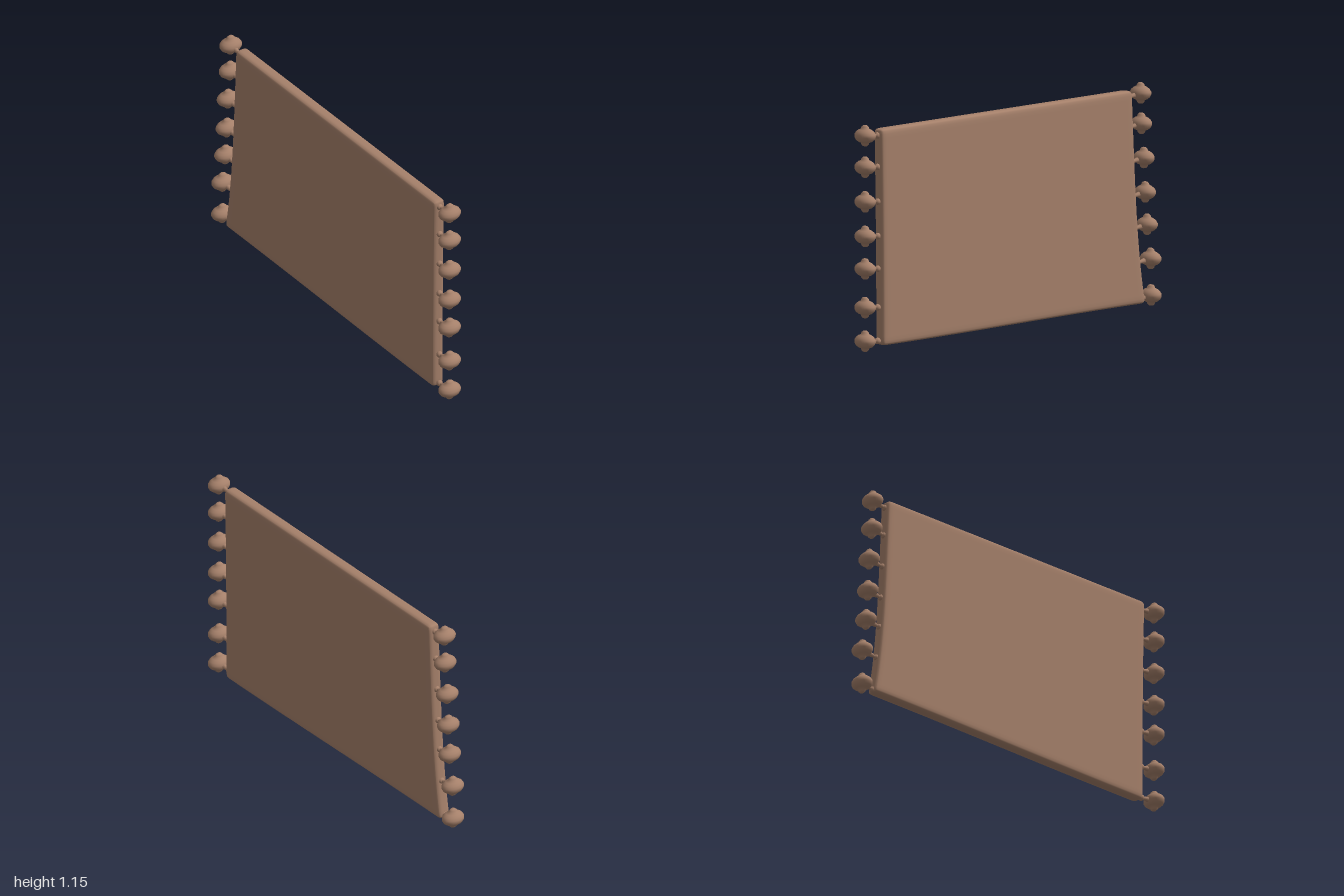
import * as THREE from 'three';
import { mergeVertices } from 'three/addons/utils/BufferGeometryUtils.js';

const { lerp, clamp } = THREE.MathUtils;

// Edges of the slightly skewed cloth (u, v run 0..1)
const leftEdge = v => -0.805 - 0.05 * (1 - v) - 0.04 * (1 - v) ** 4;
const rightEdge = v => 0.86 + 0.012 * v * v;
const topEdge = u => 1.122 - 0.026 * u;
const bottomEdge = u => 0.067 - 0.037 * u * u * (3 - 2 * u) * 0.5 - 0.0185 * u;

// Rounded slab, dense near its borders, warped to fit the edges
function clothGeometry() {
  const half = new THREE.Vector3(0.85, 0.53, 0.034);
  const r = 0.022;
  let g = new THREE.BoxGeometry(2, 2, 2, 36, 30, 8);
  g.deleteAttribute('normal');
  g.deleteAttribute('uv');
  g = mergeVertices(g);
  const pos = g.attributes.position;
  const p = new THREE.Vector3(), core = new THREE.Vector3();
  for (let i = 0; i < pos.count; i++) {
    p.fromBufferAttribute(pos, i);
    p.set(Math.sin(p.x * Math.PI / 2), Math.sin(p.y * Math.PI / 2), p.z).multiply(half);
    core.set(
      clamp(p.x, r - half.x, half.x - r),
      clamp(p.y, r - half.y, half.y - r),
      clamp(p.z, r - half.z, half.z - r));
    p.sub(core);
    if (p.lengthSq() > 0) p.setLength(r);
    p.add(core);
    const u = p.x / half.x / 2 + 0.5, v = p.y / half.y / 2 + 0.5;
    pos.setXYZ(i,
      lerp(leftEdge(v), rightEdge(v), u),
      lerp(bottomEdge(u), topEdge(u), v),
      p.z - 0.001);
  }
  g.computeVertexNormals();
  return g;
}

// Turned tassel: a wide round body with a small knob above and below
function tasselGeometry() {
  const profile = [
    [0, -0.053], [0.012, -0.051], [0.02, -0.044], [0.023, -0.035], [0.037, -0.03],
    [0.051, -0.02], [0.059, -0.006], [0.059, 0.006], [0.051, 0.019], [0.037, 0.029],
    [0.023, 0.035], [0.02, 0.044], [0.012, 0.051], [0, 0.053],
  ].map(([x, y]) => new THREE.Vector2(x, y));
  const g = new THREE.LatheGeometry(profile, 28);
  g.scale(0.78, 1, 1);
  return g;
}

export function createModel() {
  const model = new THREE.Group();
  model.name = 'tasselledCloth';
  const brown = new THREE.MeshStandardMaterial({ color: 0xa5806a });
  brown.name = 'warm brown';

  const add = (name, geometry, parent = model) => {
    const mesh = new THREE.Mesh(geometry, brown);
    mesh.name = name;
    parent.add(mesh);
    return mesh;
  };

  add('cloth', clothGeometry());

  const tassel = tasselGeometry();
  const bead = new THREE.SphereGeometry(0.016, 14, 10);

  // One tassel with its bead and thin tapering cord
  function addTassel(side, x, y, edgeX, drop) {
    const group = new THREE.Group();
    group.name = side > 0 ? 'leftTassel' : 'rightTassel';
    model.add(group);
    add('tasselBody', tassel, group).position.set(x, y, 0);

    const start = new THREE.Vector3(edgeX, y - drop, 0);
    const end = new THREE.Vector3(x - side * 0.03, y - drop * 0.4, 0);
    add('bead', bead, group).position.copy(start);

    const along = end.clone().sub(start);
    const cord = add('cord', new THREE.CylinderGeometry(0.016, 0.005, along.length(), 12), group);
    cord.position.copy(start).addScaledVector(along, 0.5);
    cord.quaternion.setFromUnitVectors(new THREE.Vector3(0, 1, 0), along.normalize());
  }

  // Tassels down both short edges
  const leftHeights = [1.07, 0.915, 0.745, 0.575, 0.415, 0.225, 0.06];
  for (const y of leftHeights) addTassel(1, 0.954, y, 0.87, 0.007);

  const rightSpots = [
    [-0.885, 1.10], [-0.89, 0.95], [-0.907, 0.78], [-0.916, 0.61],
    [-0.928, 0.45], [-0.952, 0.28], [-0.954, 0.10],
  ];
  for (const [x, y] of rightSpots) {
    const v = (y - 0.067) / 1.055;
    addTassel(-1, x, y, leftEdge(clamp(v, 0, 1)) + 0.002, 0.014);
  }
  return model;
}
